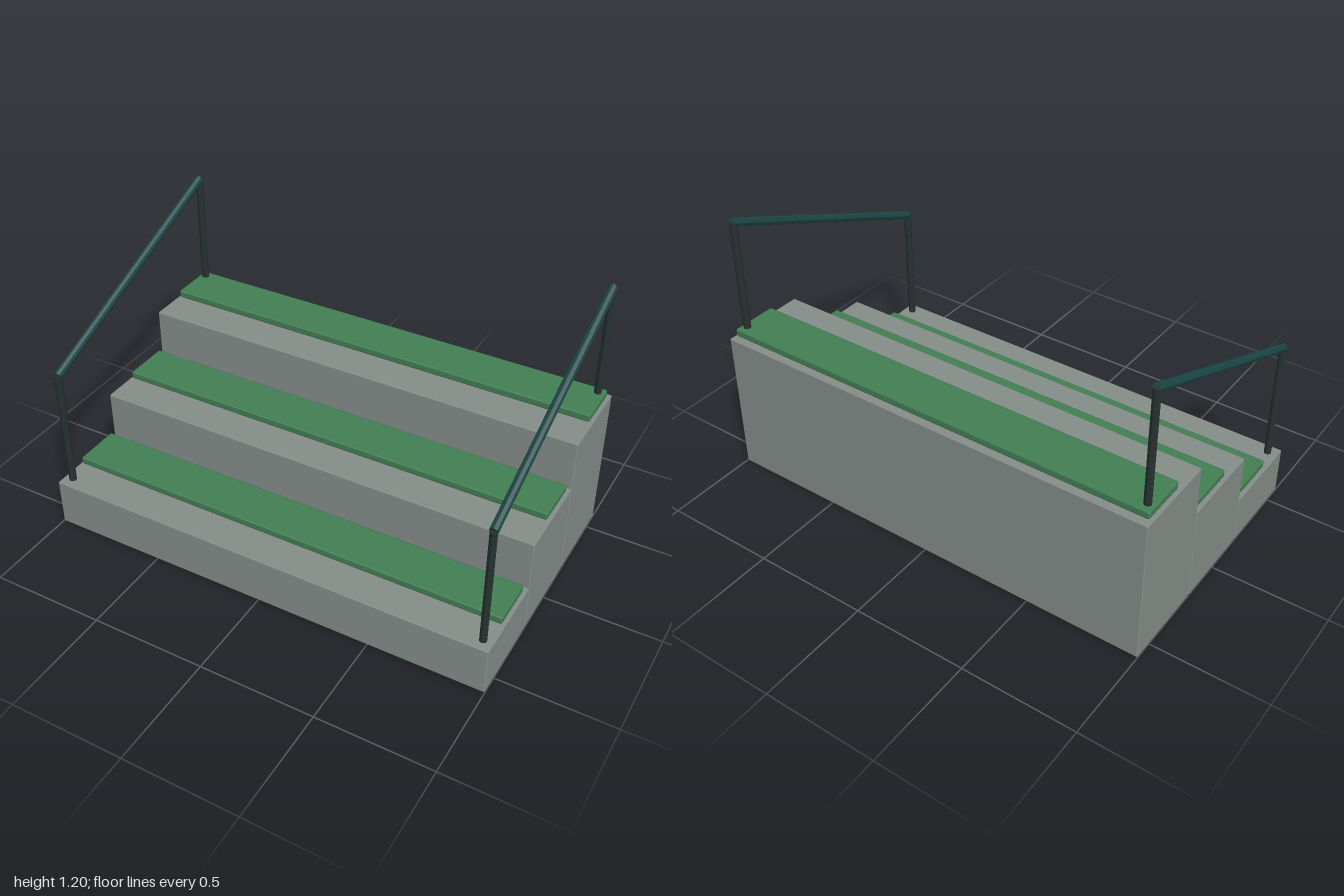
import * as THREE from 'three';
import { RoundedBoxGeometry } from 'three/addons/geometries/RoundedBoxGeometry.js';

const paint = (name, color) => {
  const m = new THREE.MeshStandardMaterial({ color });
  m.name = name;
  return m;
};

export function createModel() {
  const group = new THREE.Group();
  const concrete = paint('concrete grey', 0x868e8a);
  const green = paint('bench green', 0x437f54);
  const railPaint = paint('rail teal', 0x1c4645);
  const postPaint = paint('post dark', 0x263230);
  postPaint.flatShading = railPaint.flatShading = true;

  const add = (name, geometry, material) => {
    const mesh = new THREE.Mesh(geometry, material);
    mesh.name = name;
    group.add(mesh);
    return mesh;
  };

  // box given by its width, y range and z range, with a small chamfer
  const block = (name, w, y0, y1, z0, z1, bevel, material) => {
    const geo = new RoundedBoxGeometry(w, y1 - y0, z1 - z0, 1, bevel);
    add(name, geo, material).position.set(0, (y0 + y1) / 2, (z0 + z1) / 2);
  };

  // eight-sided bar between two points
  const bar = (name, a, b, r, material) => {
    const dir = b.clone().sub(a);
    const mesh = add(name, new THREE.CylinderGeometry(r, r, dir.length(), 8), material);
    mesh.position.copy(a).add(b).multiplyScalar(0.5);
    mesh.quaternion.setFromUnitVectors(new THREE.Vector3(0, 1, 0), dir.normalize());
  };

  // three rising steps, each with a bench plank
  const seatZ = [0.333, -0.06, -0.455];
  for (let i = 0; i < 3; i++) {
    const top = 0.216 * (i + 1);
    const z = 0.392 * (1 - i);
    block('step' + (i + 1), 2, 0, top, z - 0.194, z + 0.194, 0.006, concrete);
    block('bench' + (i + 1), 1.975, top + 0.003, top + 0.038, seatZ[i] - 0.104, seatZ[i] + 0.104, 0.008, green);
  }

  // handrail on each side
  for (const [side, x] of [['left', 0.957], ['right', -0.957]]) {
    const p = (y, z) => new THREE.Vector3(x, y, z);
    bar(side + 'FrontPost', p(0.21, 0.538), p(0.748, 0.538), 0.016, postPaint);
    bar(side + 'BackPost', p(0.645, -0.52), p(1.18, -0.52), 0.016, postPaint);
    bar(side + 'Handrail', p(0.748, 0.538), p(1.18, -0.52), 0.0185, railPaint);
  }
  return group;
}
